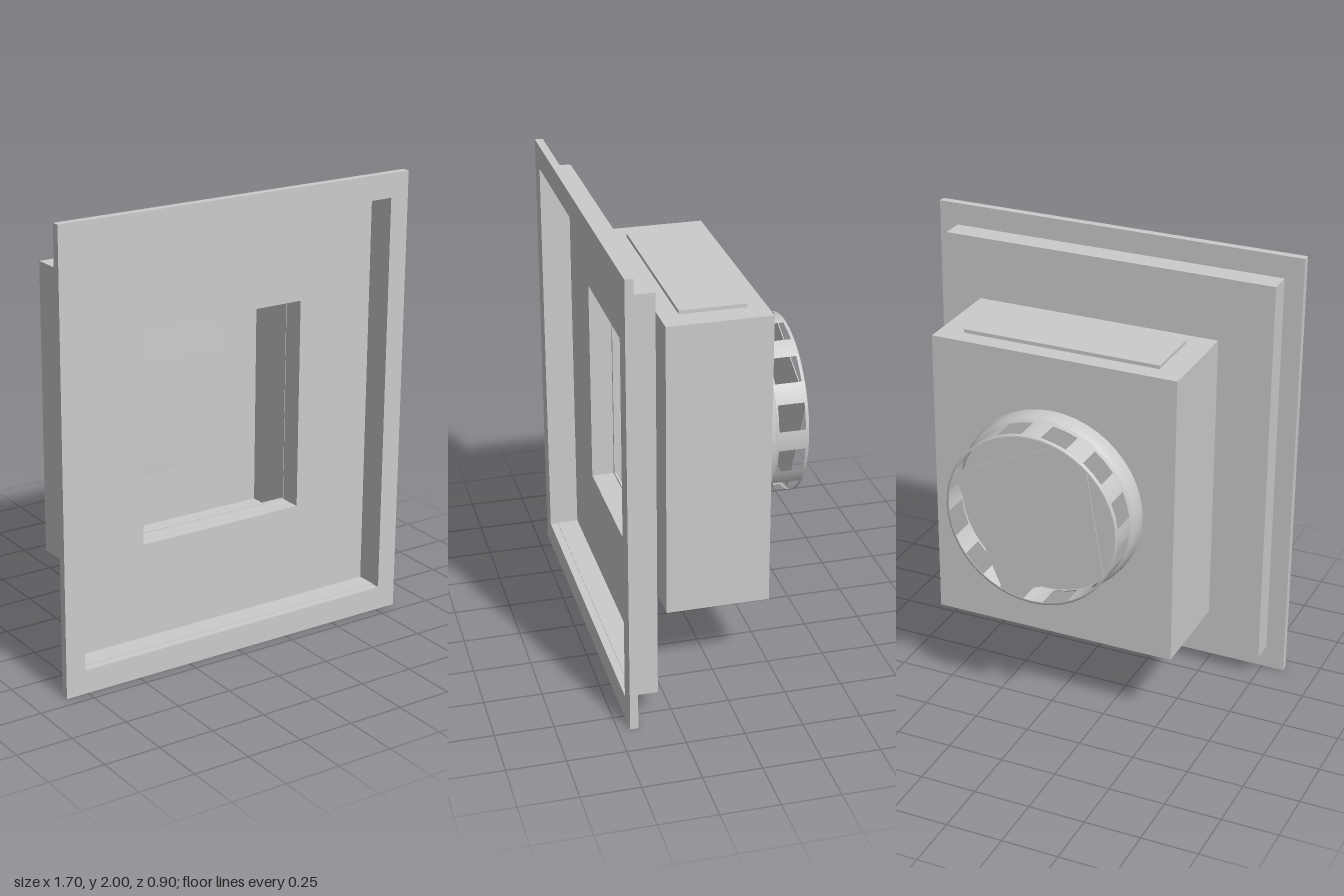
import * as THREE from 'three';

const grey = new THREE.MeshStandardMaterial({ color: 0xcccccc, side: THREE.DoubleSide });

function add(group, name, geometry, x = 0, y = 0, z = 0) {
  const mesh = new THREE.Mesh(geometry, grey);
  mesh.name = name;
  mesh.position.set(x, y, z);
  group.add(mesh);
  return mesh;
}

function rect(PathType, w, h) {
  return new PathType([[-w, -h], [w, -h], [w, h], [-w, h]].map(([x, y]) => new THREE.Vector2(x / 2, y / 2)));
}

// Rectangular frame with a rectangular opening, running from z0 to z1
function frame(group, name, [w, h], [hw, hh], z0, z1, y) {
  const shape = rect(THREE.Shape, w, h);
  shape.holes.push(rect(THREE.Path, hw, hh));
  add(group, name, new THREE.ExtrudeGeometry(shape, { depth: z1 - z0, bevelEnabled: false }), 0, y, z0);
}

// Surface of revolution about z; profile points are [radius, distance towards the back]
function turned(points) {
  return new THREE.LatheGeometry(points.map(([r, d]) => new THREE.Vector2(r, d)), 48).rotateX(-Math.PI / 2);
}

export function createModel() {
  const group = new THREE.Group();
  group.name = 'wallVent';
  const cy = 1.004;

  // Front flange and shallow pan
  frame(group, 'flange', [1.7, 2], [1.522, 1.787], 0.415, 0.45, 1);
  frame(group, 'panWalls', [1.53, 1.795], [1.522, 1.787], 0.31, 0.415, 1.0025);
  frame(group, 'panFloor', [1.522, 1.787], [0.79, 0.935], 0.31, 0.32, 1.0025);

  // Square neck into the hollow housing
  frame(group, 'neck', [0.8, 0.945], [0.79, 0.935], 0.22, 0.31, 1.0025);
  frame(group, 'housingWalls', [1.11, 1.31], [1.098, 1.298], -0.232, 0.217, cy);
  frame(group, 'housingFront', [1.098, 1.298], [0.79, 0.935], 0.207, 0.217, cy);
  add(group, 'housingBack', new THREE.BoxGeometry(1.098, 1.298, 0.01), 0, cy, -0.227);
  add(group, 'topPlate', new THREE.BoxGeometry(0.89, 0.016, 0.285), 0, 1.667, -0.008);

  // Round outlet: inner disc, curved collar and its end
  add(group, 'outletDisc', turned([[0, 0.22], [0.415, 0.22], [0.415, 0.23]]), 0, cy, 0);
  add(group, 'collar', turned([[0.415, 0.23], [0.414, 0.26], [0.41, 0.285], [0.403, 0.3], [0.392, 0.308]]), 0, cy, 0);
  add(group, 'collarEnd', turned([[0, 0.306], [0.393, 0.306]]), 0, cy, 0);

  // Slotted ring: bars between two thin rims
  const bars = 12, barAngle = THREE.MathUtils.degToRad(13);
  for (let i = 0; i < bars; i++) {
    const start = (i / bars) * Math.PI * 2 + Math.PI / 2 - barAngle / 2;
    const bar = new THREE.CylinderGeometry(0.392, 0.392, 0.14, 4, 1, true, start, barAngle);
    add(group, 'slotBar', bar.rotateX(-Math.PI / 2), 0, cy, -0.375);
  }
  add(group, 'innerRim', turned([[0.392, 0.304], [0.392, 0.316]]), 0, cy, 0);
  add(group, 'outerRim', turned([[0.392, 0.433], [0.392, 0.447], [0.382, 0.447]]), 0, cy, 0);

  // Flat angular cap whose corners touch the rim
  const corners = [23, 108, 130, 211, 290].map((a) => {
    const t = THREE.MathUtils.degToRad(a);
    return new THREE.Vector2(0.39 * Math.cos(t), 0.39 * Math.sin(t));
  });
  const cap = new THREE.ShapeGeometry(new THREE.Shape(corners)).rotateY(Math.PI);
  cap.scale(-1, 1, 1);
  add(group, 'endCap', new THREE.ExtrudeGeometry(new THREE.Shape(corners), { depth: 0.004, bevelEnabled: false }), 0, cy, -0.445);
  cap.dispose();

  return group;
}
